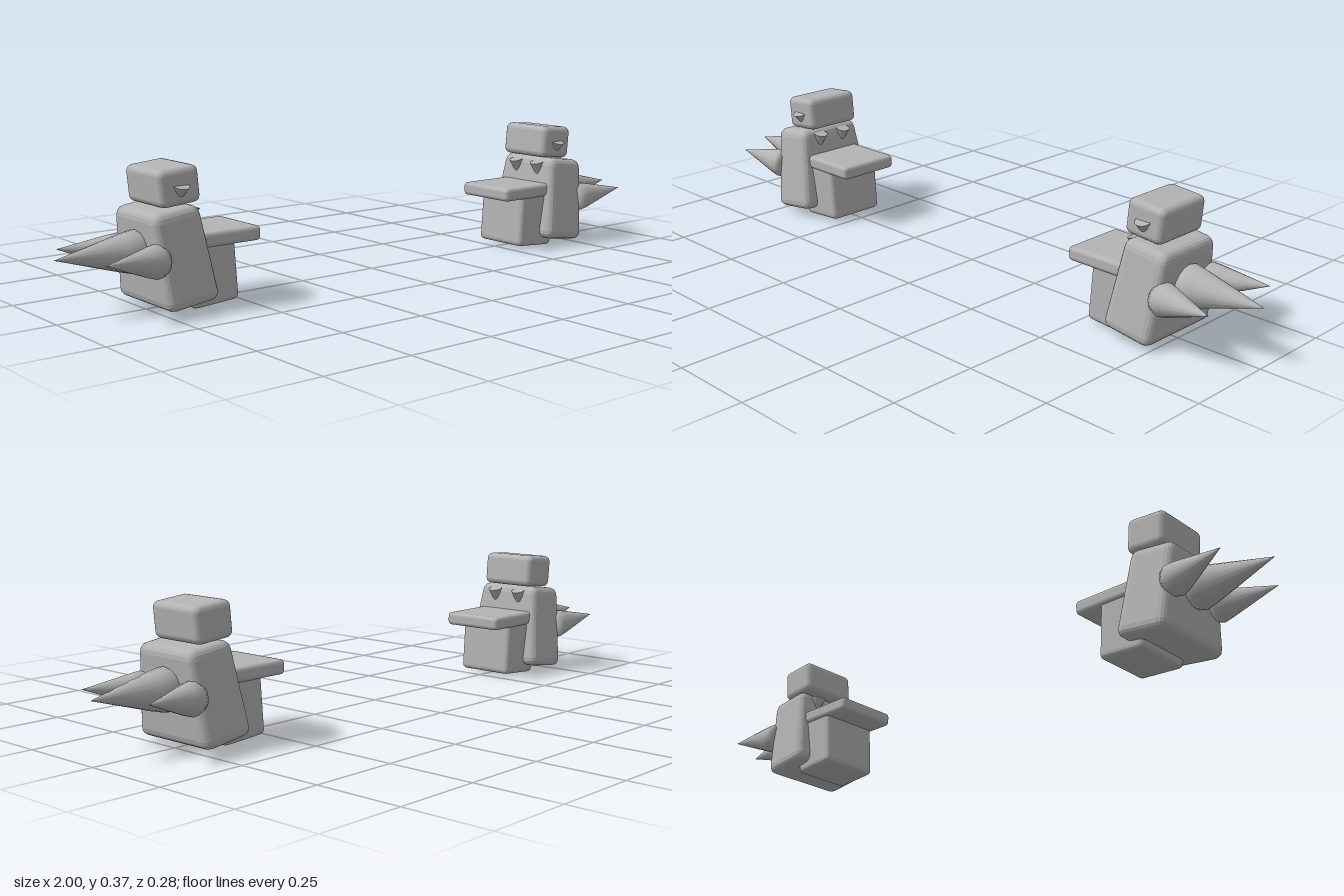
import * as THREE from 'three';
import { RoundedBoxGeometry } from 'three/addons/geometries/RoundedBoxGeometry.js';

const UP = new THREE.Vector3(0, 1, 0);

// Rounded block whose width and depth change linearly from bottom to top
function taperedBlock(w, h, d, radius, topX = 1, topZ = 1) {
  const geo = new RoundedBoxGeometry(w, h, d, 2, radius);
  const p = geo.attributes.position;
  for (let i = 0; i < p.count; i++) {
    const t = p.getY(i) / h + 0.5;
    p.setX(i, p.getX(i) * (1 + (topX - 1) * t));
    p.setZ(i, p.getZ(i) * (1 + (topZ - 1) * t));
  }
  geo.computeVertexNormals();
  return geo;
}

// Spike with a tucked-in root, growing along +y
function spikeGeometry(r, length) {
  const profile = [[0, 0], [r * 0.85, 0], [r, length * 0.1], [r * 0.86, length * 0.25], [0, length]];
  return new THREE.LatheGeometry(profile.map(([x, y]) => new THREE.Vector2(x, y)), 16);
}

export function createModel() {
  const grey = new THREE.MeshStandardMaterial({ color: 0xb4b4b4 });
  grey.name = 'plain grey';
  const model = new THREE.Group();
  model.name = 'spikedShoulderPair';

  for (const side of [1, -1]) {
    const unit = new THREE.Group();
    unit.name = side > 0 ? 'leftShoulder' : 'rightShoulder';
    model.add(unit);

    const add = (name, geo, x, y, z, tilt = 0) => {
      const mesh = new THREE.Mesh(geo, grey);
      mesh.name = name;
      mesh.position.set(x * side, y, z);
      mesh.rotation.z = tilt * side;
      unit.add(mesh);
      return mesh;
    };
    // Aim a part's +y axis along a direction
    const aim = (mesh, x, y, z) =>
      mesh.quaternion.setFromUnitVectors(UP, new THREE.Vector3(x * side, y, z).normalize());

    // Leaning main block, lower inner block, flat inner plate and head block
    add('mainBlock', taperedBlock(0.155, 0.25, 0.274, 0.025, 0.87, 0.76), 0.695, 0.147, 0, -0.13);
    add('lowerBlock', taperedBlock(0.14, 0.165, 0.182, 0.014), 0.595, 0.09, 0, -0.07);
    add('innerPlate', new RoundedBoxGeometry(0.22, 0.04, 0.195, 2, 0.012), 0.563, 0.181, 0);
    add('headBlock', new RoundedBoxGeometry(0.118, 0.098, 0.178, 2, 0.018), 0.687, 0.325, -0.006, -0.09);

    // Small downward cone on the front of the head
    const nose = add('nose', new THREE.ConeGeometry(0.023, 0.05, 12), 0.686, 0.305, 0.074);
    aim(nose, 0, -1, -0.36);

    // Small cones along the inner face, under the head
    for (const z of [-0.045, 0.045]) {
      const stud = add('innerStud', new THREE.ConeGeometry(0.022, 0.06, 12), 0.642, 0.235, z);
      aim(stud, 0.25, -1, 0);
    }

    // One large outward spike flanked by two splayed smaller ones
    const spikes = [
      { r: 0.058, from: [0.755, 0.157, 0], to: [1, 0.165, 0] },
      { r: 0.045, from: [0.755, 0.145, 0.093], to: [0.93, 0.163, 0.13] },
      { r: 0.045, from: [0.755, 0.145, -0.093], to: [0.93, 0.163, -0.13] },
    ];
    for (const { r, from, to } of spikes) {
      const dir = to.map((v, i) => v - from[i]);
      aim(add('spike', spikeGeometry(r, Math.hypot(...dir)), ...from), ...dir);
    }
  }
  return model;
}
